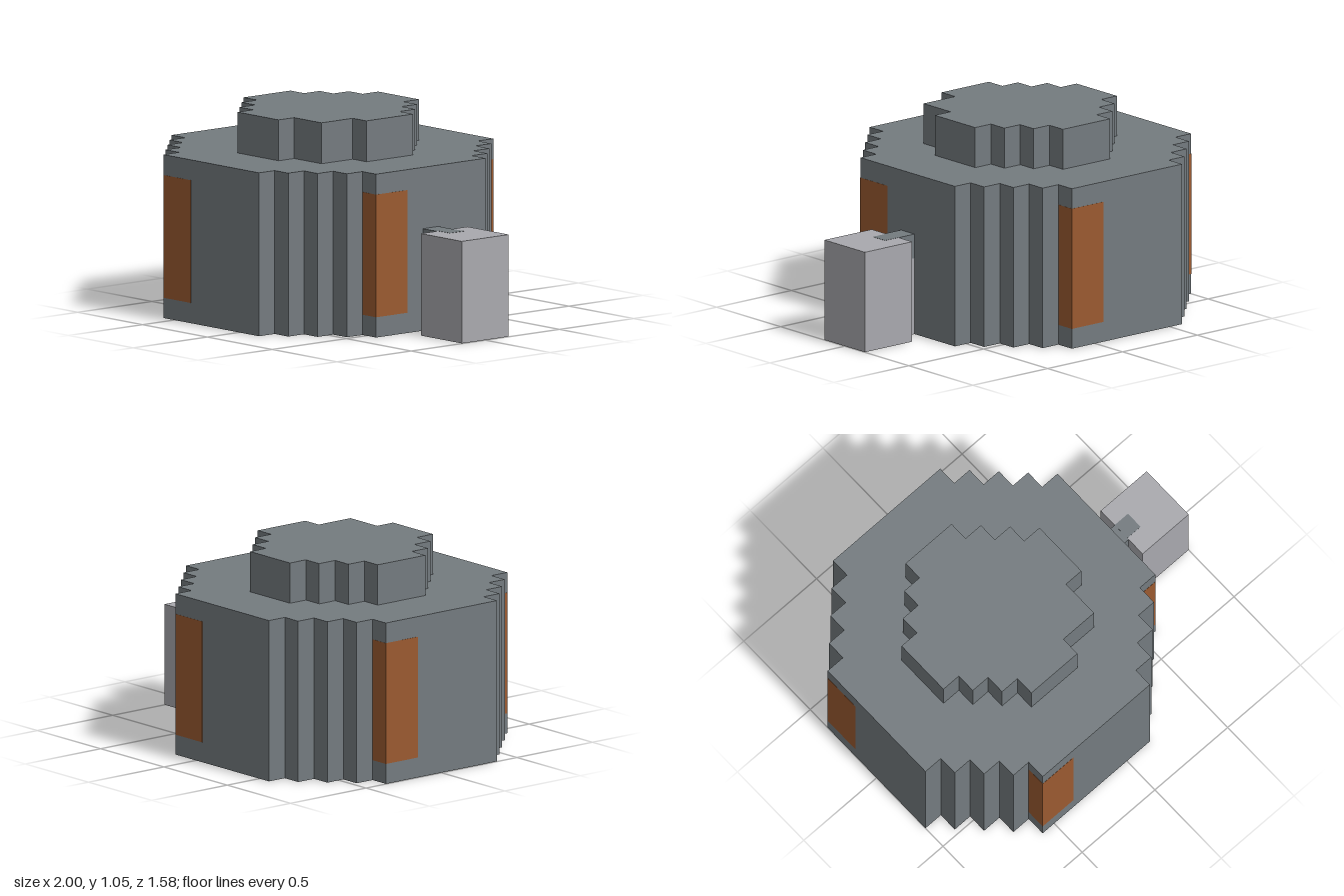
import * as THREE from 'three';
import { mergeGeometries } from 'three/addons/utils/BufferGeometryUtils.js';

const U = 2 / 19; // one block
const T = 0.004; // thickness of painted plates
const E = 0.001; // how far a plate stands proud
const CX = -2 * U; // centre of the tower

const paint = (name, color) => {
  const m = new THREE.MeshStandardMaterial({ color });
  m.name = name;
  return m;
};

export function createModel() {
  const model = new THREE.Group();
  model.name = 'blockTower';
  const slate = paint('slate', 0x747b7f);
  const rust = paint('rust', 0x9a5a30);
  const pale = paint('paleGrey', 0xa9a9ae);
  const blue = paint('blue', 0x1f469c);
  const black = paint('black', 0x0a0a1c);

  const add = (parent, name, geometry, material) => {
    const mesh = new THREE.Mesh(geometry, material);
    mesh.name = name;
    parent.add(mesh);
    return mesh;
  };
  // Box from minimum and maximum corners
  const box = (x0, x1, y0, y1, z0, z1) =>
    new THREE.BoxGeometry(x1 - x0, y1 - y0, z1 - z0)
      .translate((x0 + x1) / 2, (y0 + y1) / 2, (z0 + z1) / 2);

  // Stepped drum; each band is [back z, front z, left half-width, right half-width] in blocks
  const steppedDrum = (bands, y0, y1) => {
    const right = [], left = [];
    for (const [z0, z1, l, r] of bands) {
      right.push([r, z0], [r, z1]);
      left.push([-l, z0], [-l, z1]);
    }
    const points = [...right, ...left.reverse()].map(([x, z]) => new THREE.Vector2(x * U, -z * U));
    return new THREE.ExtrudeGeometry(new THREE.Shape(points), { depth: y1 - y0, bevelEnabled: false })
      .rotateX(-Math.PI / 2).translate(CX, y0, 0);
  };

  // Main drum
  add(model, 'drum', steppedDrum([
    [-7.5, -6.5, 3.5, 3.5], [-6.5, -5.5, 4.5, 4.5], [-5.5, -4.5, 5.5, 5.5], [-4.5, -3.5, 6.5, 6.5],
    [-3.5, 3.5, 7.5, 7.5],
    [3.5, 4.5, 6.5, 6.5], [4.5, 5.5, 5.5, 5.5], [5.5, 6.5, 4.5, 4.5], [6.5, 7.5, 3.5, 3.5],
  ], E, 8 * U), slate);

  // Upper drum, with one extra block at its front corner
  add(model, 'upperDrum', steppedDrum([
    [-4.5, -3.5, 1.5, 1.5], [-3.5, -2.5, 2.5, 2.5], [-2.5, -1.5, 3.5, 3.5],
    [-1.5, 1.5, 4.5, 4.5],
    [1.5, 2.5, 3.5, 3.5], [2.5, 3.5, 2.5, 3.5], [3.5, 4.5, 1.5, 1.5],
  ], 8 * U, 10 * U), slate);

  // Rust panels wrapping one corner of each side
  for (let i = 0; i < 4; i++) {
    const panel = new THREE.Group();
    panel.name = 'cornerPanel';
    panel.position.x = CX;
    panel.rotation.y = i * Math.PI / 2;
    add(panel, 'panelFace', box(7.5 * U - T, 7.5 * U + E, U, 7 * U, 1.5 * U, 3.5 * U + E), rust);
    add(panel, 'panelEdge', box(6.5 * U, 7.5 * U, U, 7 * U, 3.5 * U - T, 3.5 * U + E), rust);
    model.add(panel);
  }

  // Side box and the bridge joining it to the drum
  add(model, 'sideBox', box(1 - 3 * U, 1, E, 5 * U, -1.5 * U, 1.5 * U), pale);
  add(model, 'bridgeLower', box(1 - 4 * U, 1 - 3 * U, E, 0.4, -U / 2, U / 2), pale);
  add(model, 'bridgeUpper', box(1 - 4 * U, 1 - 3 * U, 0.4, 5 * U, -U / 2, U / 2), slate);
  add(model, 'bridgeInlay', box(1 - 3 * U, 0.775, 5 * U - T, 5 * U + E, -U / 2, U / 2 - 0.01), slate);
  add(model, 'sideBoxInlay', box(1 - 2.8 * U, 1 - U, 0, T, -U / 2, U / 2), black);

  // Underside mosaic, mirrored front to back
  const half = [
    '......K......',
    '...KBBBBBK...',
    '..BBKKKKKBB..',
    '.KBKGGGGGKBK.',
    '.BKGGGGGGGKB.',
    '.BKGGGGGGGKB.',
  ];
  const rows = [...half, 'KBKGGGGGGGKBK', ...half.slice().reverse()];
  const tiles = { K: [], B: [], G: [] };
  rows.forEach((row, j) => [...row].forEach((c, i) => {
    if (!tiles[c]) return;
    const x = CX + (i - 6.5) * U, z = (j - 6.5) * U;
    tiles[c].push(box(x, x + U, 0, T, z, z + U));
  }));
  add(model, 'undersideBlack', mergeGeometries(tiles.K), black);
  add(model, 'undersideBlue', mergeGeometries(tiles.B), blue);
  add(model, 'undersideCentre', mergeGeometries(tiles.G), pale);

  return model;
}
